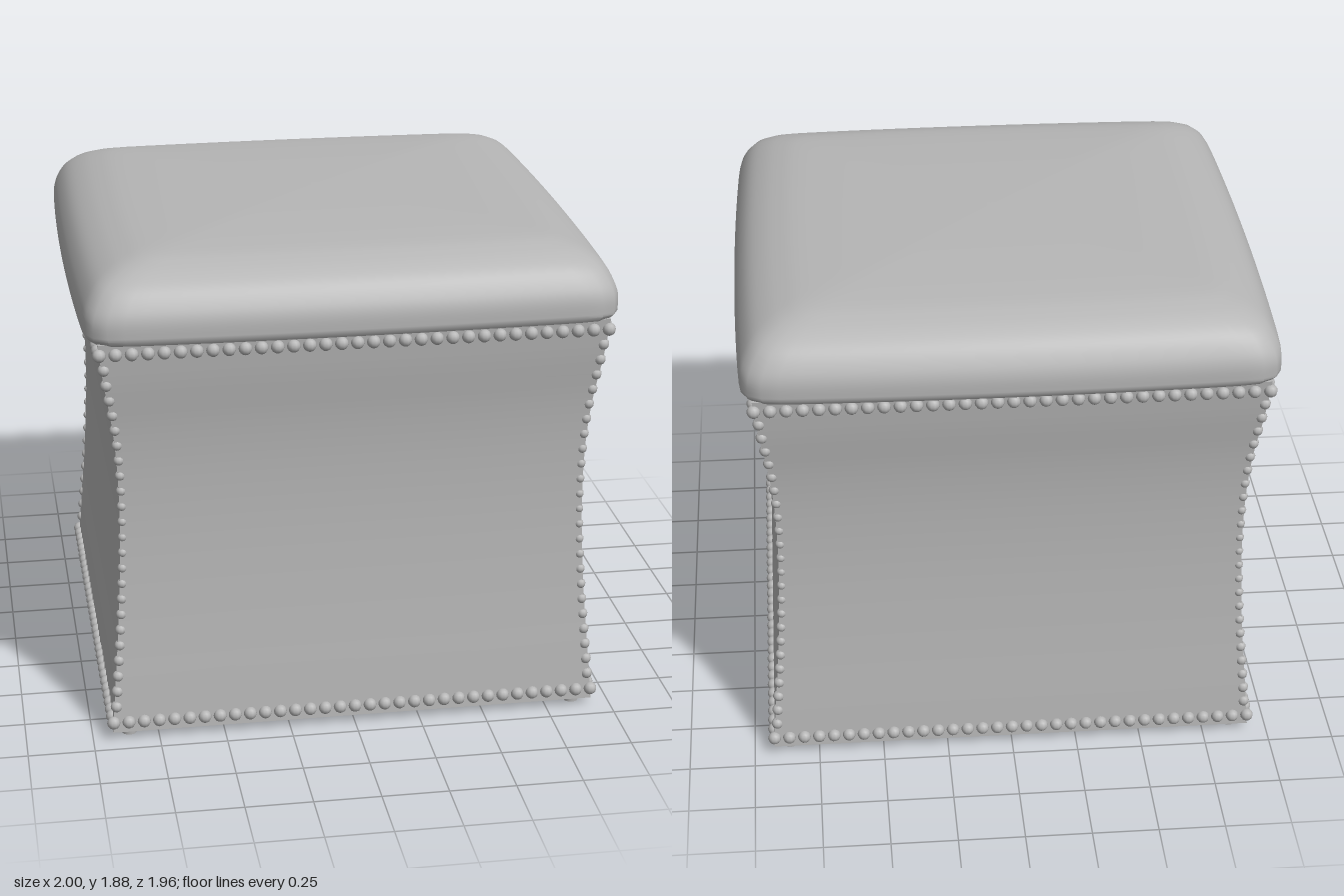
import * as THREE from 'three';
import { mergeGeometries, toCreasedNormals } from 'three/addons/utils/BufferGeometryUtils.js';

const BASE_Y = 0.03, BODY_TOP = 1.585;

// Waisted side profile: half width of the body at a given height
const waist = new THREE.SplineCurve([
  [0.925, 0.03], [0.912, 0.2], [0.888, 0.5], [0.874, 0.8], [0.876, 1.05],
  [0.892, 1.25], [0.92, 1.43], [0.938, 1.585],
].map(([w, y]) => new THREE.Vector2(w, y)));
const waistPoints = waist.getPoints(80);

function halfWidth(y) {
  for (let i = 1; i < waistPoints.length; i++) {
    const a = waistPoints[i - 1], b = waistPoints[i];
    if (y <= b.y) return THREE.MathUtils.mapLinear(y, a.y, b.y, a.x, b.x);
  }
  return waistPoints[waistPoints.length - 1].x;
}

// Box whose four walls follow the waist profile
function bodyGeometry() {
  const h = BODY_TOP - BASE_Y;
  const geo = new THREE.BoxGeometry(2, h, 2, 4, 28, 4);
  const p = geo.attributes.position;
  for (let i = 0; i < p.count; i++) {
    const y = p.getY(i) + h / 2 + BASE_Y;
    const w = halfWidth(y);
    p.setXYZ(i, p.getX(i) * w, y, p.getZ(i) * w);
  }
  geo.computeVertexNormals();
  return geo;
}

// Lathe profile pushed out to a square with gently bowed sides
function cushionGeometry() {
  const edge = new THREE.SplineCurve([
    [1, 1.6], [1, 1.66], [0.985, 1.71], [0.95, 1.765], [0.9, 1.803],
    [0.83, 1.832], [0.72, 1.853], [0.4, 1.869], [0, 1.876],
  ].map(([r, y]) => new THREE.Vector2(r, y)));
  const profile = [new THREE.Vector2(0, 1.58), new THREE.Vector2(0.985, 1.58), ...edge.getPoints(32)];
  const geo = new THREE.LatheGeometry(profile, 160);
  const p = geo.attributes.position;
  for (let i = 0; i < p.count; i++) {
    const x = p.getX(i), z = p.getZ(i);
    const r = Math.hypot(x, z);
    if (r < 1e-6) continue;
    const s = Math.abs(x / r), c = Math.abs(z / r);
    const square = Math.pow(s ** 24 + c ** 24, -1 / 24);
    const t = Math.min(s, c) / Math.max(s, c);
    const k = square * (1 - 0.022 * t * t);
    p.setX(i, x * k);
    p.setZ(i, z * k * 0.98);
  }
  return toCreasedNormals(geo, 0.75);
}

// Nail heads merged into one geometry from [x, y, z, radius] entries
function studGeometry(list) {
  const head = new THREE.SphereGeometry(1, 10, 8);
  return mergeGeometries(list.map(([x, y, z, r]) => head.clone().scale(r, r, r).translate(x, y, z)));
}

function studRow(y, count) {
  const w = halfWidth(y), list = [];
  for (let i = 0; i < count; i++) {
    const t = -w + (2 * w * i) / count;
    // One entry on each of the four walls, sharing the corners
    list.push([t, y, w, 0.025], [w, y, -t, 0.025], [-t, y, -w, 0.025], [-w, y, t, 0.025]);
  }
  return list;
}

function studColumns(y0, y1, count) {
  const list = [];
  for (let i = 1; i < count; i++) {
    const y = THREE.MathUtils.lerp(y0, y1, i / count);
    const w = halfWidth(y) - 0.009;
    const r = 0.017 + 0.006 * Math.abs((2 * i) / count - 1);
    for (const sx of [-1, 1]) for (const sz of [-1, 1]) list.push([sx * w, y, sz * w, r]);
  }
  return list;
}

export function createModel() {
  const group = new THREE.Group();
  group.name = 'ottoman';
  const grey = new THREE.MeshStandardMaterial({ color: 0xb6b6b6 });
  grey.name = 'grey upholstery';

  const add = (name, geo) => {
    const mesh = new THREE.Mesh(geo, grey);
    mesh.name = name;
    group.add(mesh);
    return mesh;
  };

  add('body', bodyGeometry());
  add('cushion', cushionGeometry());
  add('bottomStuds', studGeometry(studRow(0.07, 32)));
  add('topStuds', studGeometry(studRow(1.545, 32)));
  add('cornerStuds', studGeometry(studColumns(0.07, 1.545, 24)));

  // Small round feet
  const foot = new THREE.CylinderGeometry(0.032, 0.028, 0.04, 16);
  for (const sx of [-1, 1]) for (const sz of [-1, 1]) {
    add(`${sz > 0 ? 'front' : 'back'}${sx > 0 ? 'Left' : 'Right'}Foot`, foot).position.set(sx * 0.86, 0.02, sz * 0.865);
  }
  return group;
}
